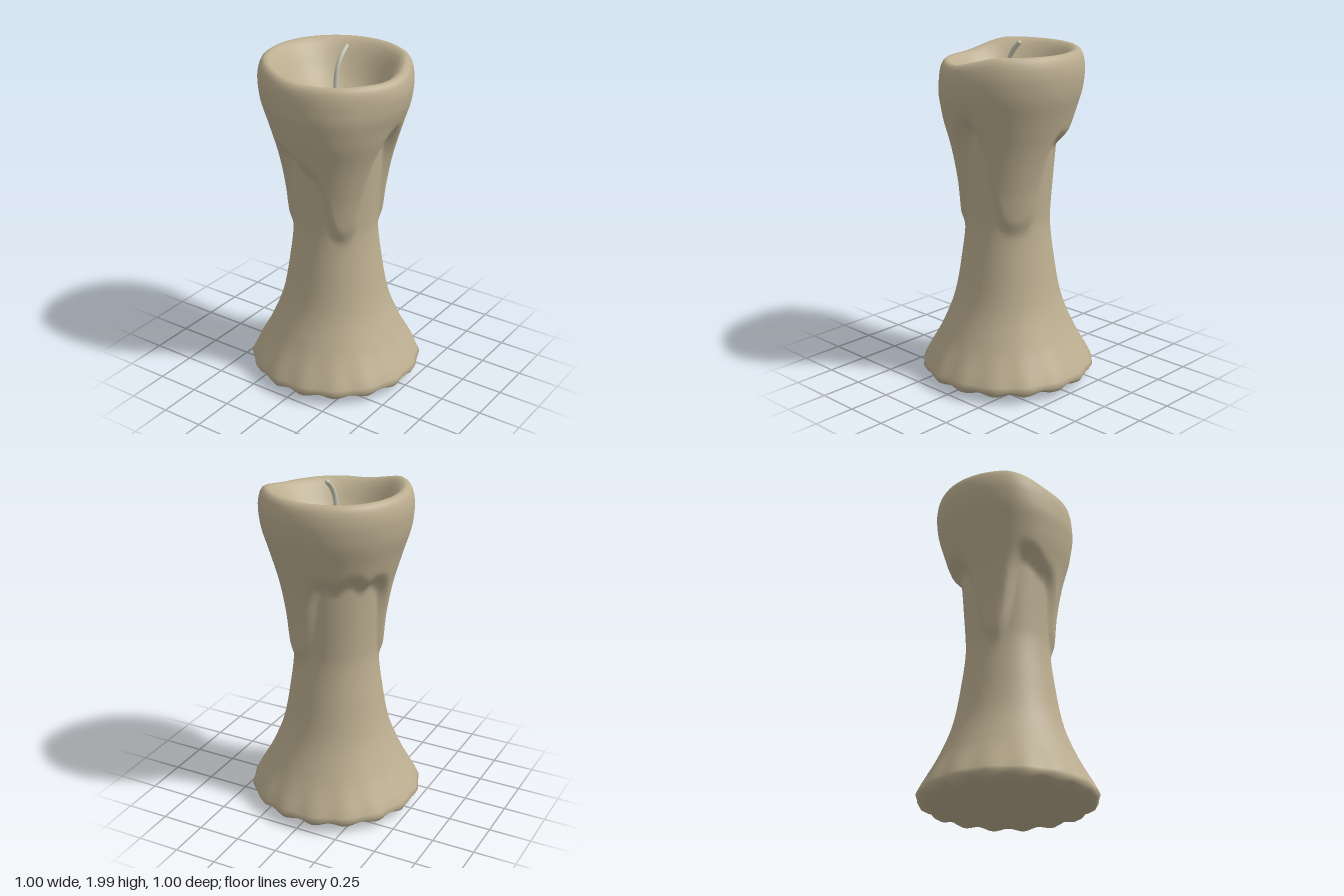
import * as THREE from 'three';
import { mergeVertices } from 'three/addons/utils/BufferGeometryUtils.js';

const { smoothstep, lerp, clamp } = THREE.MathUtils;
const DEG = Math.PI / 180;

// Smooth curve through a list of [key, value] pairs
function curve(table, k) {
  const last = table.length - 1;
  k = clamp(k, table[0][0], table[last][0]);
  const i = Math.max(1, table.findIndex(([key]) => k <= key));
  const slope = (j) => {
    const [ka, va] = table[Math.max(0, j - 1)], [kb, vb] = table[Math.min(last, j + 1)];
    return (vb - va) / (kb - ka);
  };
  const [k0, v0] = table[i - 1], [k1, v1] = table[i];
  const w = k1 - k0, t = (k - k0) / w, t2 = t * t, t3 = t2 * t;
  return (2 * t3 - 3 * t2 + 1) * v0 + (t3 - 2 * t2 + t) * w * slope(i - 1)
    + (3 * t2 - 2 * t3) * v1 + (t3 - t2) * w * slope(i);
}

// Radius of the bare column by height
const column = [[0.08, 0.505], [0.14, 0.477], [0.3, 0.39], [0.5, 0.312], [0.78, 0.262],
  [0.95, 0.244], [1.05, 0.247], [1.2, 0.258], [1.35, 0.27], [1.5, 0.285], [1.65, 0.315], [1.86, 0.39]];
// Radius of the melted wax that hangs over it
const melt = [[0.9, 0.262], [1.05, 0.274], [1.2, 0.288], [1.4, 0.325], [1.6, 0.382],
  [1.72, 0.418], [1.82, 0.431], [1.9, 0.43]];
// Lower edge of the melted wax by angle from +x towards +z: three long drips
const dripEdge = [[-8, 1.6], [4, 1.55], [15, 1.4], [23, 1.17], [31, 1.02], [45, 0.97], [59, 1.02],
  [67, 1.17], [76, 1.34], [92, 1.4], [118, 1.48], [128, 1.38], [135, 1.15], [143, 1.01], [154, 0.97],
  [166, 1.01], [174, 1.16], [182, 1.38], [200, 1.49], [213, 1.46], [226, 1.51], [244, 1.46],
  [260, 1.48], [270, 1.36], [277, 1.14], [286, 1.01], [304, 0.97], [324, 1.01], [333, 1.17],
  [341, 1.42], [352, 1.6]];

// How far the melted wax covers the column, softened sideways
function coverage(deg, y) {
  let sum = 0;
  for (let d = -4; d <= 4; d += 2) {
    const edge = curve(dripEdge, ((deg + d + 368) % 360) - 8);
    sum += smoothstep(y, edge - 0.07, edge + 0.045);
  }
  return sum / 5;
}

function candleBody() {
  // Profile: underside, body, rim, melted bowl
  const pts = [[0, 0.008], [0.2, 0.018], [0.4, 0.03], [0.45, 0.036], [0.487, 0.056]];
  const wallStart = pts.length;
  for (let y = 0.08; y < 1.86; y += 0.025) pts.push([curve(column, y), y]);
  const wallEnd = pts.length;
  pts.push([0.427, 1.89], [0.419, 1.92], [0.407, 1.942], [0.388, 1.955], [0.365, 1.95], [0.34, 1.93],
    [0.312, 1.895], [0.28, 1.845], [0.235, 1.775], [0.18, 1.72], [0.12, 1.69], [0.06, 1.675], [0, 1.67]);
  const profile = pts.map(([r, y]) => new THREE.Vector2(r, y));
  const geo = new THREE.LatheGeometry(profile, 160);
  const pos = geo.attributes.position;

  for (let i = 0; i < pos.count; i++) {
    const row = i % pts.length;
    let [r, y] = pts[row];
    if (r === 0) continue;
    const a = Math.atan2(pos.getZ(i), pos.getX(i));

    // Overhanging wax with its drips
    if (row >= wallStart && row < wallEnd && y > 0.85) {
      r = lerp(r, Math.max(r, curve(melt, y)), coverage(a / DEG, y));
    }
    // Slightly sixteen-sided foot with a scalloped underside
    const ripple = Math.cos(16 * a);
    r *= 1 - 0.009 * (1 + ripple) * (1 - smoothstep(y, 0.08, 0.35)) + 0.006 * (1 - smoothstep(y, 0.08, 0.2));
    if (row > 1 && row < wallStart) y += 0.008 * ripple;

    // Rim sags and draws in on one side
    const sag = smoothstep(Math.cos(a - 50 * DEG), 0, 0.85);
    const draw = smoothstep(Math.cos(a - 62 * DEG), 0.3, 1);
    r *= 1 - 0.112 * draw * smoothstep(y, 1.5, 1.88);
    y -= 0.064 * sag * smoothstep(y, 1.6, 1.95);
    pos.setXYZ(i, r * Math.cos(a), y, r * Math.sin(a));
  }
  geo.deleteAttribute('uv');
  geo.deleteAttribute('normal');
  const merged = mergeVertices(geo, 1e-4);
  merged.computeVertexNormals();
  return merged;
}

export function createModel() {
  const group = new THREE.Group();
  group.name = 'candle';

  const wax = new THREE.MeshStandardMaterial({ color: 0xbcae90 });
  const body = new THREE.Mesh(candleBody(), wax);
  body.name = 'waxBody';
  group.add(body);

  // Bent wick with a closed tip
  const wickMat = new THREE.MeshStandardMaterial({ color: 0xcccab8 });
  const wick = new THREE.Group();
  wick.name = 'wick';
  const path = new THREE.CatmullRomCurve3([
    new THREE.Vector3(0, 1.65, 0), new THREE.Vector3(0, 1.8, 0),
    new THREE.Vector3(0.002, 1.89, -0.016), new THREE.Vector3(0.005, 1.95, -0.052),
    new THREE.Vector3(0.007, 1.988, -0.094)]);
  const stem = new THREE.Mesh(new THREE.TubeGeometry(path, 16, 0.014, 8), wickMat);
  stem.name = 'wickStem';
  const tip = new THREE.Mesh(new THREE.SphereGeometry(0.0135, 10, 8), wickMat);
  tip.name = 'wickTip';
  tip.position.copy(path.getPoint(1));
  tip.scale.setScalar(0.9);
  wick.add(stem, tip);
  group.add(wick);
  return group;
}
